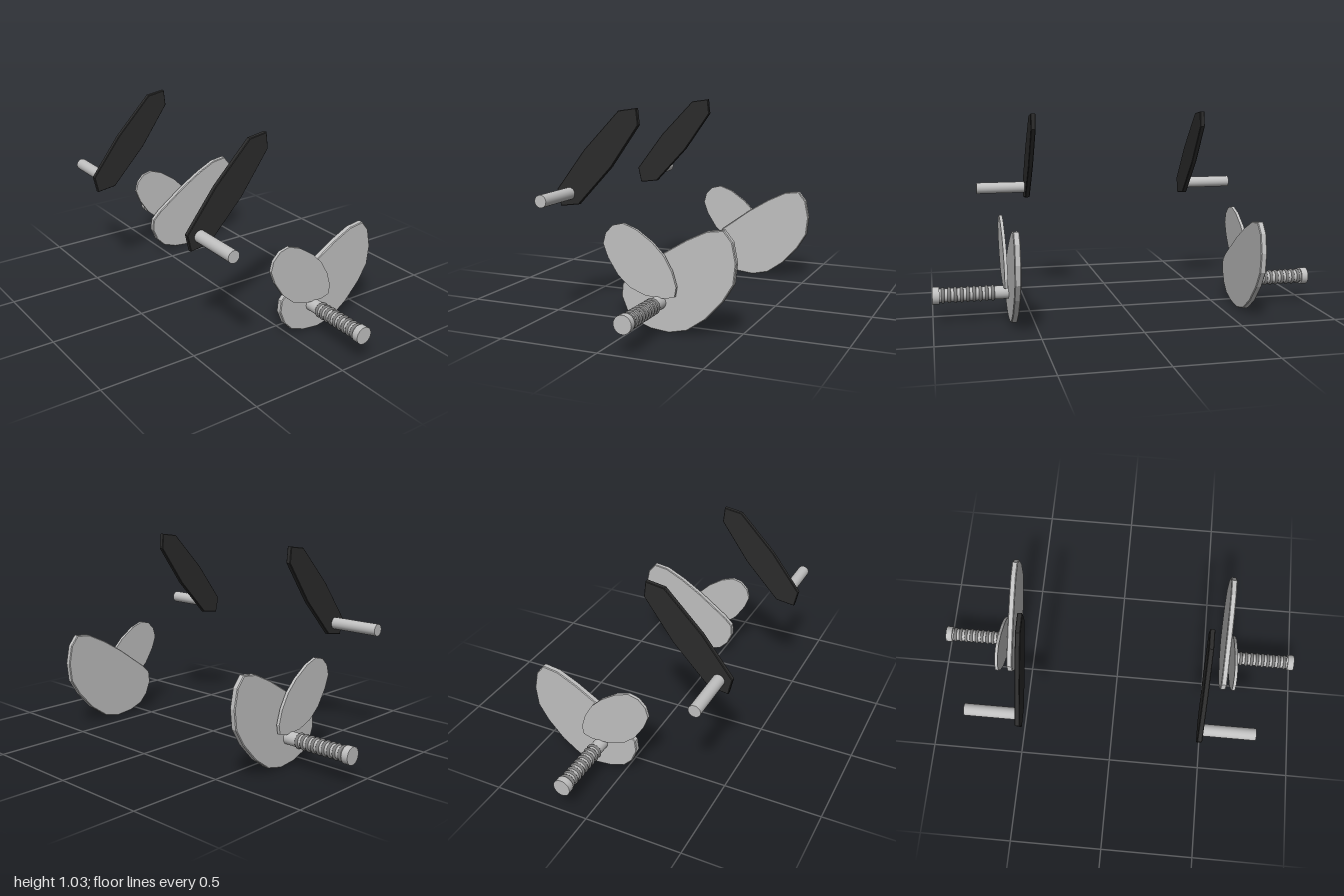
import * as THREE from 'three';

const silver = new THREE.MeshStandardMaterial({ color: 0xc0c0c0 });
silver.name = 'silver';
const black = new THREE.MeshStandardMaterial({ color: 0x2b2b2b });
black.name = 'black';
const darkGrey = new THREE.MeshStandardMaterial({ color: 0x808080 });
darkGrey.name = 'darkGrey';

// Outlines in the x, y plane
const armOutline = [[-0.158, 1.023], [-0.35, 0.826], [-0.507, 0.622], [-0.488, 0.537],
  [-0.386, 0.551], [-0.202, 0.746], [-0.053, 0.955], [-0.062, 1.037]];
const largeOutline = [[0.443, 0.512], [0.361, 0.501], [0.26, 0.452], [0.147, 0.383], [-0.02, 0.262],
  [-0.067, 0.216], [-0.073, 0.155], [-0.045, 0.087], [0.001, 0.04], [0.078, 0.012], [0.172, 0.002],
  [0.265, 0.023], [0.356, 0.087], [0.441, 0.18], [0.493, 0.265], [0.504, 0.364], [0.485, 0.46]];
const smallOutline = [[-0.051, 0.512], [-0.103, 0.499], [-0.141, 0.46], [-0.155, 0.408], [-0.13, 0.342],
  [-0.078, 0.262], [-0.015, 0.207], [0.065, 0.177], [0.166, 0.172], [0.213, 0.185], [0.221, 0.232],
  [0.199, 0.304], [0.158, 0.375], [0.1, 0.433], [0.018, 0.488]];

// One side of the model: side is 1 for the front set, -1 for the back set
function buildSide(side) {
  const group = new THREE.Group();
  group.name = side > 0 ? 'frontSet' : 'backSet';

  const add = (name, geometry, material, x, y, z) => {
    const mesh = new THREE.Mesh(geometry, material);
    mesh.name = name;
    mesh.position.set(x, y, z);
    group.add(mesh);
  };

  // Flat plate between depths z0 and z1, with a small chamfer
  const plate = (name, outline, z0, z1, bevel, material) => {
    const shape = new THREE.Shape(outline.map(([x, y]) => new THREE.Vector2(x, y)));
    const geometry = new THREE.ExtrudeGeometry(shape, {
      depth: z1 - z0 - 2 * bevel, bevelEnabled: bevel > 0, bevelSegments: 1,
      bevelThickness: bevel, bevelSize: bevel, bevelOffset: -bevel,
    });
    add(name, geometry, material, 0, 0, (side > 0 ? z0 : -z1) + bevel);
  };

  // Round bar along z between depths z0 and z1
  const bar = (name, radius, x, y, z0, z1) => {
    const geometry = new THREE.CylinderGeometry(radius, radius, z1 - z0, 24).rotateX(Math.PI / 2);
    add(name, geometry, silver, x, y, side * (z0 + z1) / 2);
  };

  // Arm with its peg
  plate('arm', armOutline, 0.446, 0.471, 0.003, black);
  bar('armPeg', 0.031, -0.438, 0.603, 0.468, 0.738);

  // Overlapping plates
  plate('largePlate', largeOutline, 0.591, 0.622, 0.004, silver);
  plate('smallPlate', smallOutline, 0.63, 0.646, 0, silver);

  // Spindle with end cap and grip rings
  const cx = 0.125, cy = 0.145;
  bar('spindle', 0.034, cx, cy, 0.615, 0.97);
  bar('spindleCap', 0.044, cx, cy, 0.965, 1);
  for (let i = 0; i < 9; i++) {
    add('gripRing', new THREE.TorusGeometry(0.032, 0.009, 8, 24), darkGrey, cx, cy, side * (0.7 + i * 0.031));
  }
  return group;
}

export function createModel() {
  const model = new THREE.Group();
  model.name = 'model';
  model.add(buildSide(1), buildSide(-1));
  return model;
}
